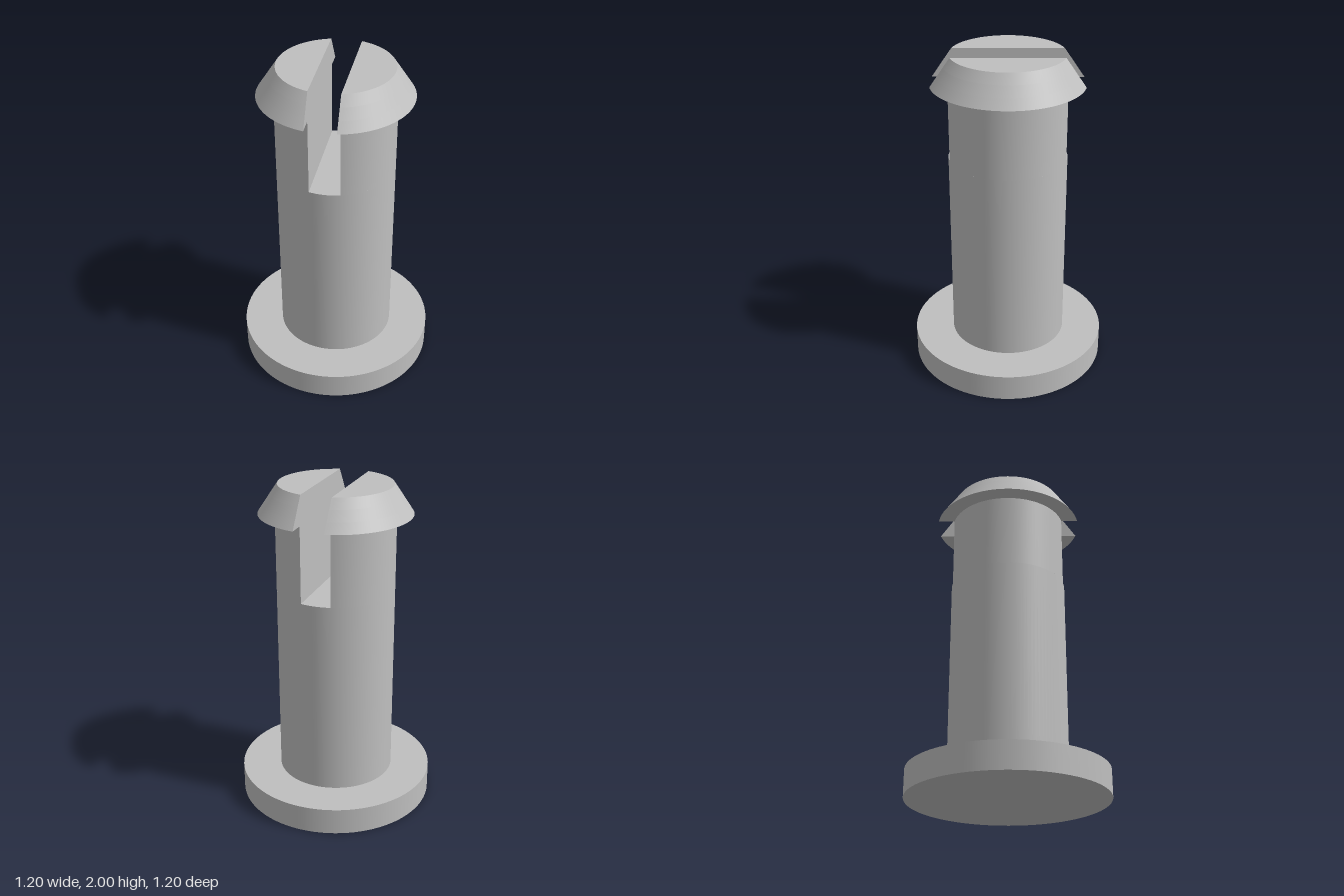
import * as THREE from 'three';

const SLOT = 0.091, SHAFT_R = 0.357, SLOT_Y = 1.365, SEG = 48;

// Half of a turned profile, cut flat at x = SLOT. Each band has its own
// vertices, so it is smooth around and sharp against its neighbours.
function cutHalf(profile) {
  const pos = [], idx = [];
  const add = (x, y, z) => pos.push(x, y, z) / 3 - 1;
  const arc = ([r, y]) => {
    const end = Math.acos(SLOT / r);
    return Array.from({ length: SEG + 1 }, (_, i) => {
      const a = -end + (2 * end * i) / SEG;
      return add(r * Math.cos(a), y, r * Math.sin(a));
    });
  };
  for (let k = 0; k < profile.length - 1; k++) {
    const [r0, y0] = profile[k], [r1, y1] = profile[k + 1];
    // outer wall
    const lo = arc(profile[k]), hi = arc(profile[k + 1]);
    for (let i = 0; i < SEG; i++) {
      idx.push(lo[i], hi[i], lo[i + 1], hi[i], hi[i + 1], lo[i + 1]);
    }
    // flat face along the slot
    if (y1 > y0) {
      const z0 = Math.sqrt(r0 * r0 - SLOT * SLOT), z1 = Math.sqrt(r1 * r1 - SLOT * SLOT);
      const a = add(SLOT, y0, -z0), b = add(SLOT, y0, z0);
      const c = add(SLOT, y1, z1), d = add(SLOT, y1, -z1);
      idx.push(a, b, c, a, c, d);
    }
  }
  // top cap
  const last = profile[profile.length - 1];
  const rim = arc(last), mid = add(SLOT, last[1], 0);
  for (let i = 0; i < SEG; i++) idx.push(mid, rim[i + 1], rim[i]);

  const g = new THREE.BufferGeometry();
  g.setAttribute('position', new THREE.Float32BufferAttribute(pos, 3));
  g.setIndex(idx);
  g.computeVertexNormals();
  return g;
}

export function createModel() {
  const group = new THREE.Group();
  const grey = new THREE.MeshStandardMaterial({ color: 0xbfbfbf });
  grey.name = 'grey';

  const part = (name, geometry, y = 0) => {
    const mesh = new THREE.Mesh(geometry, grey);
    mesh.name = name;
    mesh.position.y = y;
    group.add(mesh);
    return mesh;
  };

  // Round foot and solid lower shaft
  part('baseFlange', new THREE.CylinderGeometry(0.6, 0.6, 0.165, 96), 0.0825);
  part('shaft', new THREE.CylinderGeometry(SHAFT_R, SHAFT_R, SLOT_Y - 0.165, 96), (SLOT_Y + 0.165) / 2);

  // Two prongs with barbed, tapered heads on either side of the slot
  const prong = cutHalf([
    [SHAFT_R, SLOT_Y], [SHAFT_R, 1.825], [0.457, 1.825], [0.418, 1.883], [0.379, 1.942], [0.34, 2],
  ]);
  part('leftProng', prong);
  part('rightProng', prong).rotation.y = Math.PI;

  return group;
}
